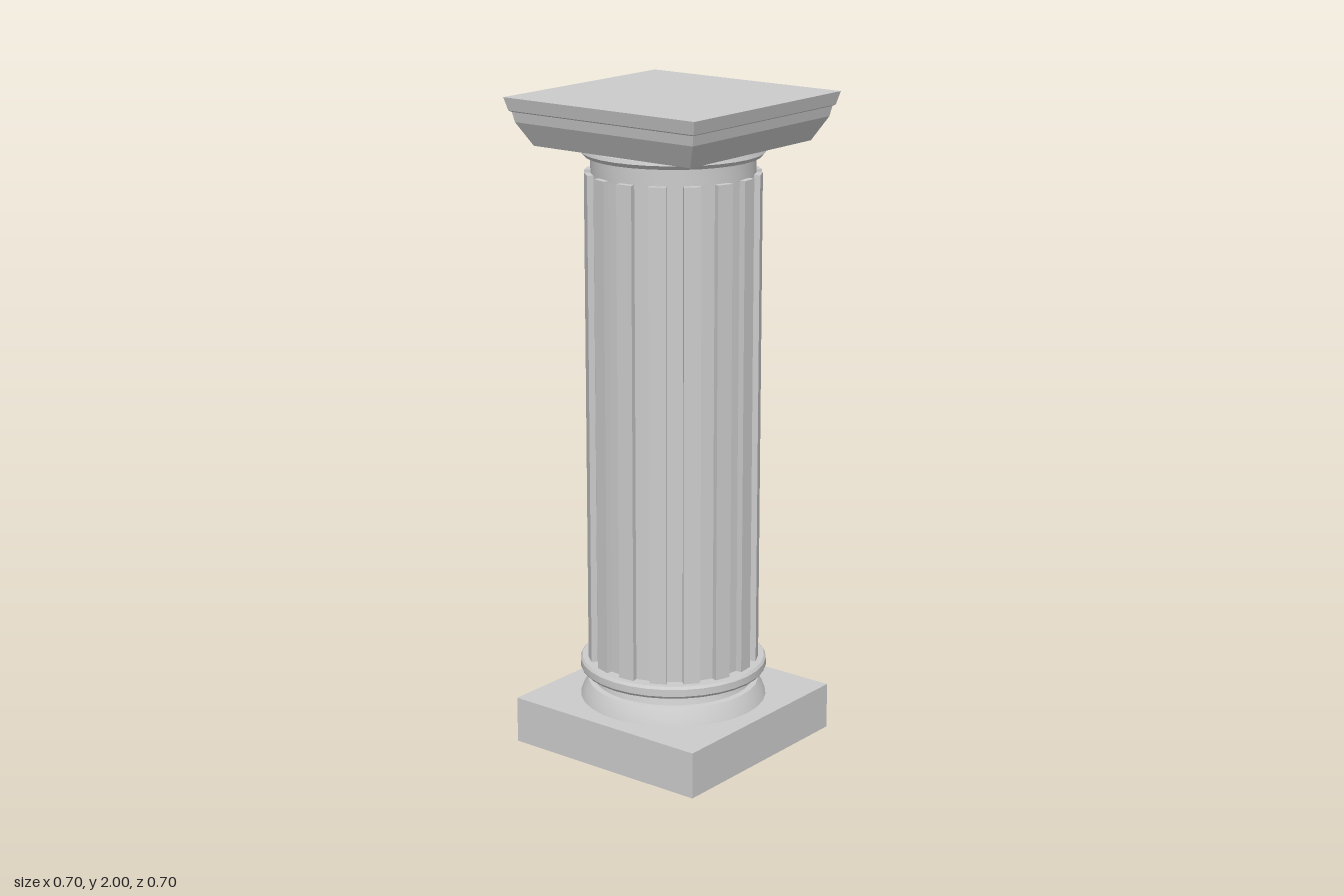
import * as THREE from 'three';
import { toCreasedNormals } from 'three/addons/utils/BufferGeometryUtils.js';

const stone = new THREE.MeshStandardMaterial({ color: 0xcccccc });
stone.name = 'pale grey stone';

const toPoints = (profile) => profile.map(([r, y]) => new THREE.Vector2(r, y));

// Round moulding turned from a [radius, y] profile
function roundPart(name, profile) {
  const geometry = new THREE.LatheGeometry(toPoints(profile), 32);
  const mesh = new THREE.Mesh(toCreasedNormals(geometry, 0.4), stone);
  mesh.name = name;
  return mesh;
}

// Square moulding from a [half width, y] profile
function squarePart(name, profile) {
  const corners = profile.map(([h, y]) => [h * Math.SQRT2, y]);
  const geometry = new THREE.LatheGeometry(toPoints(corners), 4, Math.PI / 4).toNonIndexed();
  geometry.computeVertexNormals();
  const mesh = new THREE.Mesh(geometry, stone);
  mesh.name = name;
  return mesh;
}

// Shaft with sixteen raised ribs and flat channels between them
function flutedShaft(bottom, top) {
  const ribs = 16, outer = 0.262, inner = 0.243;
  const step = Math.PI / ribs;
  const points = [];
  const add = (r, a) => points.push(new THREE.Vector2(r * Math.sin(a), -r * Math.cos(a)));
  for (let i = 0; i < ribs; i++) {
    const start = i * 2 * step;
    add(outer, start);
    add(outer, start + step);
    add(inner, start + step);
    add(inner, start + 2 * step);
  }
  const geometry = new THREE.ExtrudeGeometry(new THREE.Shape(points), {
    depth: top - bottom, bevelEnabled: false,
  });
  geometry.rotateX(-Math.PI / 2);
  geometry.translate(0, bottom, 0);
  const mesh = new THREE.Mesh(geometry, stone);
  mesh.name = 'flutedShaft';
  return mesh;
}

export function createModel() {
  const column = new THREE.Group();
  column.name = 'column';

  column.add(
    squarePart('plinth', [[0, 0], [0.342, 0], [0.342, 0.143], [0, 0.143]]),
    // Flared foot and the narrow neck above it
    roundPart('baseFlare', [
      [0.286, 0.143], [0.276, 0.17], [0.262, 0.194], [0.245, 0.196], [0.24, 0.215], [0.243, 0.235],
    ]),
    roundPart('baseRing', [
      [0.24, 0.232], [0.28, 0.232], [0.286, 0.24], [0.286, 0.262], [0.28, 0.27], [0.23, 0.27],
    ]),
    flutedShaft(0.265, 1.775),
    roundPart('shaftNeck', [[0.243, 1.77], [0.243, 1.83]]),
    roundPart('neckRing', [
      [0.24, 1.826], [0.262, 1.826], [0.272, 1.838], [0.268, 1.85], [0.255, 1.853], [0.255, 1.86],
    ]),
    // Sloping capital, small step and top slab
    squarePart('capital', [
      [0, 1.857], [0.287, 1.857], [0.325, 1.927], [0.331, 1.957],
      [0.338, 1.961], [0.348, 2], [0, 2],
    ]),
  );
  return column;
}
